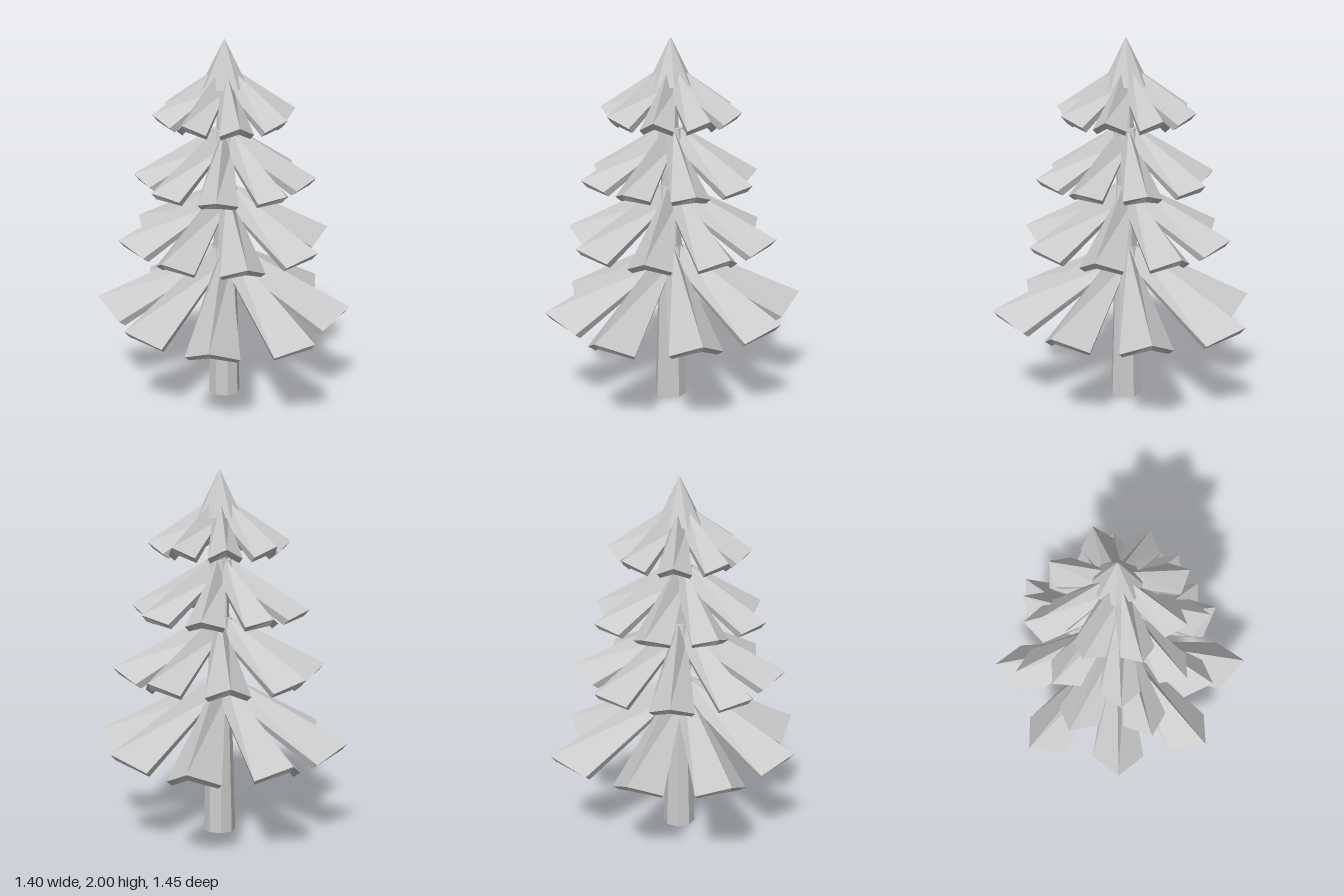
import * as THREE from 'three';

const material = new THREE.MeshStandardMaterial({ color: 0xcccccc, flatShading: true });
const CENTRE = { x: 0.013, z: 0.02 };

// top: ridge start height, tip: ridge end height, corner: height of the outer corners,
// half: half width at the corners, lengths: ridge reach, repeated around the tier
const TIERS = [
  { name: 'bottom', top: 0.87, tip: 0.535, corner: 0.445, half: 0.145, turn: -4.5,
    lengths: [0.69, 0.74, 0.70, 0.67, 0.71, 0.70, 0.75, 0.68] },
  { name: 'lower', top: 1.205, tip: 0.935, corner: 0.865, half: 0.12, turn: 22.5, lengths: [0.58] },
  { name: 'upper', top: 1.52, tip: 1.26, corner: 1.215, half: 0.105, turn: -6, lengths: [0.49] },
  { name: 'top', top: 1.83, tip: 1.615, corner: 1.56, half: 0.09, turn: 22.5, lengths: [0.385] },
];

// Roof-shaped bough along +x: two six-point sections joined, with pointed outer end
function boughGeometry(tier, length) {
  const { top, tip, corner, half } = tier;
  const back = length * 0.8;
  const section = (ridge, edge, w, t, inset) => [
    [ridge[0], ridge[1], 0],
    [edge[0], edge[1], w],
    [edge[0] - inset, edge[1] - t, w * 0.84],
    [ridge[0] - inset, ridge[1] - t * 1.3, 0],
    [edge[0] - inset, edge[1] - t, -w * 0.84],
    [edge[0], edge[1], -w],
  ];
  const inner = section([0.065, top], [0.05, top - 0.09], 0.045, 0.025, 0);
  const outer = section([length, tip], [back, corner], half, 0.028, 0.03);
  const pos = [];
  const quad = (a, b, c, d) => pos.push(...a, ...b, ...c, ...a, ...c, ...d);
  for (let i = 0; i < 6; i++) {
    const j = (i + 1) % 6;
    quad(inner[i], inner[j], outer[j], outer[i]);
  }
  quad(outer[0], outer[1], outer[2], outer[3]);
  quad(outer[0], outer[3], outer[4], outer[5]);
  quad(inner[3], inner[2], inner[1], inner[0]);
  quad(inner[5], inner[4], inner[3], inner[0]);
  const g = new THREE.BufferGeometry();
  g.setAttribute('position', new THREE.Float32BufferAttribute(pos, 3));
  g.computeVertexNormals();
  return g;
}

// Eight-sided tapered piece between two heights
function taper(name, rTop, rBottom, y0, y1, turn = 0) {
  const mesh = new THREE.Mesh(new THREE.CylinderGeometry(rTop, rBottom, y1 - y0, 8), material);
  mesh.name = name;
  mesh.position.y = (y0 + y1) / 2;
  mesh.rotation.y = turn;
  return mesh;
}

export function createModel() {
  const model = new THREE.Group();
  model.name = 'pineTree';
  const tree = new THREE.Group();
  tree.name = 'tree';
  tree.position.set(CENTRE.x, 0, CENTRE.z);
  model.add(tree);

  tree.add(taper('trunk', 0.036, 0.088, 0, 1.8, Math.PI / 8));

  for (const tier of TIERS) {
    const group = new THREE.Group();
    group.name = tier.name + 'Tier';
    const turn = THREE.MathUtils.degToRad(tier.turn);
    for (let i = 0; i < 8; i++) {
      const length = tier.lengths[i % tier.lengths.length];
      const bough = new THREE.Mesh(boughGeometry(tier, length), material);
      bough.name = 'bough' + (i + 1);
      bough.rotation.y = -(turn + i * Math.PI / 4);
      group.add(bough);
    }
    // Collar joining the boughs, its corners falling between them
    if (tier.name !== 'top') {
      group.add(taper('collar', 0.068, 0.095, tier.top - 0.13, tier.top, Math.PI / 8 - turn));
    }
    tree.add(group);
  }

  // Pointed crown over the top tier
  tree.add(taper('crown', 0, 0.125, 1.75, 2));
  return model;
}
